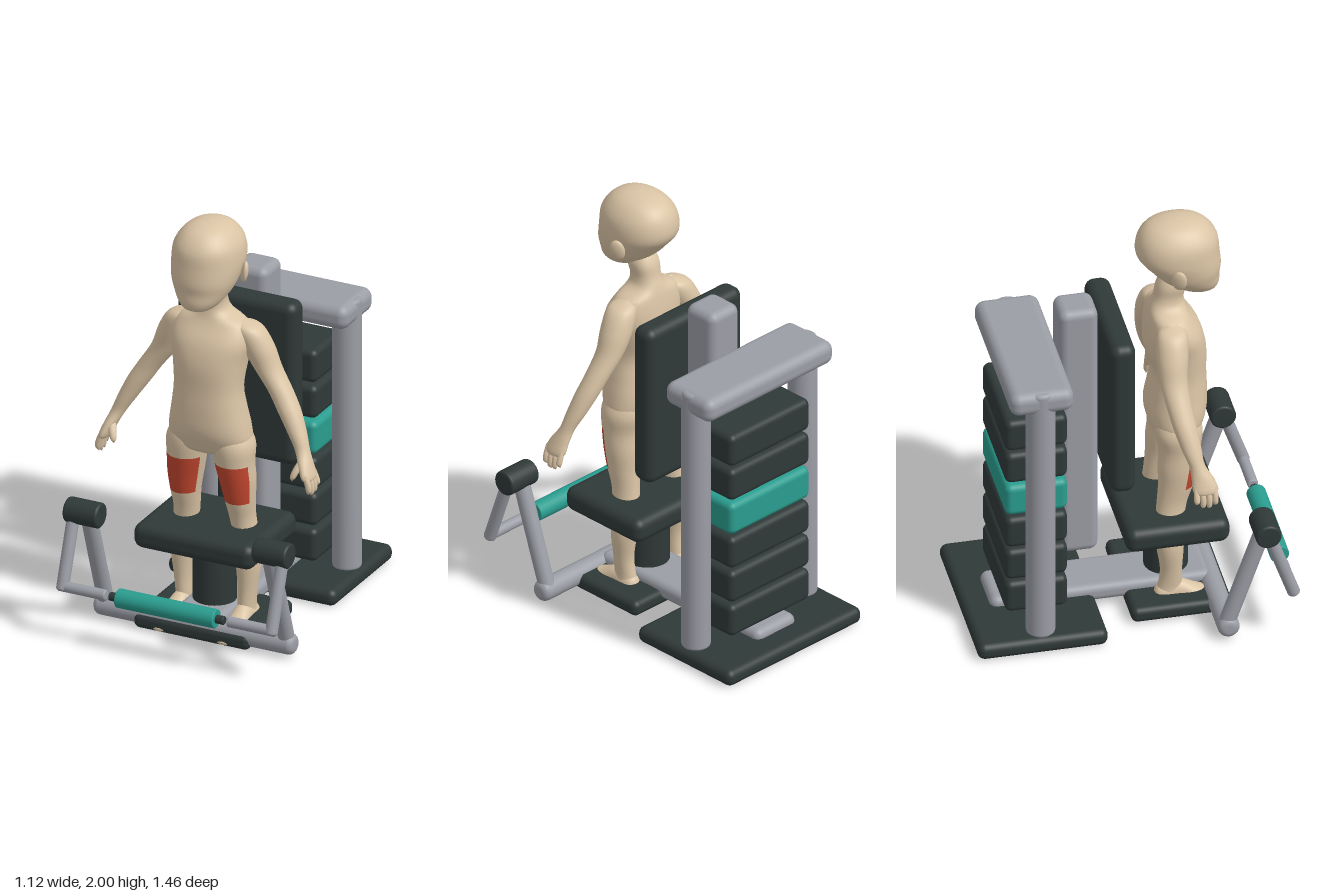
import * as THREE from 'three';
import { RoundedBoxGeometry } from 'three/addons/geometries/RoundedBoxGeometry.js';

const makeMaterial = (name, color) => {
  const m = new THREE.MeshStandardMaterial({ color });
  m.name = name;
  return m;
};

// Smooth body through horizontal oval sections [x, y, z, halfWidth, halfDepth], listed from top to bottom.
// paint(section, angle) picks the faces that use the second material.
function loft(sections, { power = 2, steps = 5, segs = 32, paint = null } = {}) {
  const centres = new THREE.CatmullRomCurve3(sections.map(s => new THREE.Vector3(s[0], s[1], s[2])), false, 'catmullrom');
  const radii = new THREE.CatmullRomCurve3(sections.map(s => new THREE.Vector3(s[3], s[4], 0)), false, 'catmullrom');
  const rows = (sections.length - 1) * steps;
  const pos = [], plain = [], painted = [];
  const bulge = v => Math.sign(v) * Math.abs(v) ** (2 / power);
  for (let i = 0; i <= rows; i++) {
    const c = centres.getPoint(i / rows), r = radii.getPoint(i / rows);
    for (let j = 0; j < segs; j++) {
      const a = j / segs * Math.PI * 2;
      pos.push(c.x + Math.max(r.x, 0.0005) * bulge(Math.cos(a)), c.y, c.z + Math.max(r.y, 0.0005) * bulge(Math.sin(a)));
      if (i === rows) continue;
      const p = i * segs + j, p1 = i * segs + (j + 1) % segs;
      const list = paint && paint((i + 0.5) / steps, (j + 0.5) / segs * Math.PI * 2) ? painted : plain;
      list.push(p, p1, p + segs, p1, p1 + segs, p + segs);
    }
  }
  const g = new THREE.BufferGeometry();
  g.setAttribute('position', new THREE.Float32BufferAttribute(pos, 3));
  g.setIndex([...plain, ...painted]);
  if (paint) {
    g.addGroup(0, plain.length, 0);
    g.addGroup(plain.length, painted.length, 1);
  }
  g.computeVertexNormals();
  return g;
}

export function createModel() {
  const model = new THREE.Group();
  model.name = 'exerciseMachineWithFigure';
  const skin = makeMaterial('skin', 0xdac4a5);
  const dark = makeMaterial('darkPadding', 0x2f3938);
  const grey = makeMaterial('greyFrame', 0x9c9ea6);
  const teal = makeMaterial('tealAccent', 0x2a9d8f);
  const red = makeMaterial('redMuscle', 0xc4472f);

  const add = (name, geometry, material, parent = model) => {
    const mesh = new THREE.Mesh(geometry, material);
    mesh.name = name;
    parent.add(mesh);
    return mesh;
  };

  // Rounded box given by its extents
  const box = (name, [x0, x1], [y0, y1], [z0, z1], r, material) => {
    const m = add(name, new RoundedBoxGeometry(x1 - x0, y1 - y0, z1 - z0, 4, r), material);
    m.position.set((x0 + x1) / 2, (y0 + y1) / 2, (z0 + z1) / 2);
  };

  // Cylinder with softened rims between two points
  const rod = (name, from, to, r, material, bevel = 0.012) => {
    const a = new THREE.Vector3(...from), b = new THREE.Vector3(...to);
    const h = a.distanceTo(b) / 2, pts = [new THREE.Vector2(0, -h)];
    for (const end of [-1, 1]) for (let k = 0; k <= 4; k++) {
      const t = (end < 0 ? k : 4 - k) / 4 * Math.PI / 2;
      pts.push(new THREE.Vector2(r - bevel + bevel * Math.sin(t), end * (h - bevel + bevel * Math.cos(t))));
    }
    pts.push(new THREE.Vector2(0, h));
    const m = add(name, new THREE.LatheGeometry(pts, 28), material);
    m.position.copy(a).add(b).multiplyScalar(0.5);
    m.quaternion.setFromUnitVectors(new THREE.Vector3(0, 1, 0), b.sub(a).normalize());
  };

  // Bases and connecting rail
  box('rearBase', [-0.42, 0.42], [0, 0.08], [-0.73, -0.135], 0.035, dark);
  box('footPlate', [-0.29, 0.29], [0.005, 0.08], [0, 0.46], 0.03, dark);
  box('baseRail', [-0.125, 0.125], [0.035, 0.12], [-0.61, 0.4], 0.035, grey);

  // Seat, backrest and spine
  rod('seatPost', [0, 0.06, 0.215], [0, 0.42, 0.215], 0.1, dark);
  box('seat', [-0.3, 0.3], [0.39, 0.51], [-0.025, 0.45], 0.045, dark);
  box('backrest', [-0.298, 0.298], [0.73, 1.525], [-0.098, 0.02], 0.045, dark);
  box('spinePost', [-0.09, 0.09], [0.29, 1.605], [-0.287, -0.108], 0.04, grey);

  // Weight tower
  for (let i = 0; i < 6; i++) {
    const y = 0.125 + i * 0.176;
    box('weightPlate' + (i + 1), [-0.25, 0.25], [y, y + 0.16], [-0.57, -0.285], 0.03, i === 3 ? teal : dark);
  }
  box('towerBeam', [-0.4, 0.4], [1.29, 1.405], [-0.577, -0.285], 0.045, grey);

  // Front cross bar and roller
  rod('frontBar', [-0.5, 0.063, 0.4], [0.5, 0.063, 0.4], 0.05, grey, 0.03);
  rod('rollerAxle', [-0.287, 0.255, 0.683], [0.287, 0.255, 0.683], 0.02, dark, 0.004);
  rod('rollerPad', [-0.247, 0.255, 0.683], [0.247, 0.255, 0.683], 0.044, teal, 0.005);

  for (const [side, s] of [['left', 1], ['right', -1]]) {
    rod(side + 'Upright', [s * 0.335, 0.07, -0.43], [s * 0.335, 1.4, -0.43], 0.067, grey, 0.02);
    rod(side + 'LeverArm', [s * 0.453, 0.06, 0.39], [s * 0.453, 0.58, 0.57], 0.038, grey);
    rod(side + 'Grip', [s * 0.388, 0.58, 0.567], [s * 0.558, 0.58, 0.567], 0.059, dark);
    rod(side + 'SwingArm', [s * 0.523, 0.58, 0.57], [s * 0.523, 0.235, 0.69], 0.029, grey);
    rod(side + 'RollerHandle', [s * 0.305, 0.255, 0.683], [s * 0.545, 0.255, 0.683], 0.025, grey, 0.008);
  }

  // Standing figure
  const figure = new THREE.Group();
  figure.name = 'figure';
  model.add(figure);

  add('head', loft([
    [0, 2.0, 0.27, 0, 0], [0, 1.99, 0.268, 0.06, 0.075], [0, 1.96, 0.265, 0.112, 0.138],
    [0, 1.9, 0.267, 0.152, 0.18], [0, 1.82, 0.27, 0.161, 0.188], [0, 1.75, 0.3, 0.15, 0.164],
    [0, 1.7, 0.32, 0.132, 0.138], [0, 1.65, 0.352, 0.1, 0.105], [0, 1.617, 0.375, 0.06, 0.065],
    [0, 1.605, 0.385, 0, 0]], { power: 2.15 }), skin, figure);

  add('torso', loft([
    [0, 1.74, 0.26, 0.03, 0.03], [0, 1.66, 0.245, 0.066, 0.068], [0, 1.59, 0.228, 0.064, 0.068],
    [0, 1.545, 0.222, 0.085, 0.08], [0, 1.5, 0.225, 0.165, 0.095], [0, 1.42, 0.243, 0.19, 0.125],
    [0, 1.32, 0.255, 0.172, 0.138], [0, 1.2, 0.272, 0.16, 0.122], [0, 1.1, 0.267, 0.172, 0.13],
    [0, 1.0, 0.257, 0.19, 0.136], [0, 0.93, 0.25, 0.192, 0.12], [0, 0.88, 0.248, 0.14, 0.09],
    [0, 0.86, 0.247, 0, 0]], { power: 2.3 }), skin, figure);

  for (const [side, s] of [['left', 1], ['right', -1]]) {
    // Ear
    const ear = add(side + 'Ear', new THREE.SphereGeometry(1, 20, 14), skin, figure);
    ear.scale.set(0.017, 0.053, 0.036);
    ear.position.set(s * 0.163, 1.765, 0.243);
    ear.rotation.set(0.15, s * 0.5, -s * 0.2);

    // Leg with the painted front of the thigh
    add(side + 'Leg', loft([
      [s * 0.1, 1.0, 0.25, 0.07, 0.09], [s * 0.112, 0.92, 0.25, 0.098, 0.108], [s * 0.119, 0.83, 0.253, 0.091, 0.096],
      [s * 0.13, 0.735, 0.242, 0.082, 0.09], [s * 0.136, 0.64, 0.232, 0.068, 0.08], [s * 0.14, 0.54, 0.212, 0.058, 0.068],
      [s * 0.155, 0.42, 0.198, 0.058, 0.066], [s * 0.162, 0.32, 0.2, 0.058, 0.062], [s * 0.16, 0.2, 0.205, 0.044, 0.05],
      [s * 0.155, 0.11, 0.2, 0.04, 0.055], [s * 0.155, 0.05, 0.19, 0.04, 0.06], [s * 0.155, 0.025, 0.19, 0, 0]],
    { paint: (k, a) => k > 2 && k < 4 && Math.sin(a) > 0.3 }), [skin, red], figure);

    // Foot, lofted from toe to heel
    add(side + 'Foot', loft([
      [s * 0.16, 0.462, -0.025, 0, 0], [s * 0.16, 0.452, -0.027, 0.035, 0.014], [s * 0.162, 0.4, -0.038, 0.058, 0.026],
      [s * 0.16, 0.32, -0.052, 0.052, 0.042], [s * 0.156, 0.24, -0.07, 0.044, 0.06], [s * 0.155, 0.15, -0.06, 0.04, 0.05],
      [s * 0.155, 0.12, -0.06, 0, 0]]).rotateX(Math.PI / 2), skin, figure);

    // Arm and palm
    add(side + 'Arm', loft([
      [s * 0.14, 1.515, 0.215, 0.01, 0.02], [s * 0.165, 1.485, 0.21, 0.065, 0.065], [s * 0.207, 1.4, 0.2, 0.076, 0.073],
      [s * 0.255, 1.3, 0.195, 0.066, 0.064], [s * 0.325, 1.2, 0.205, 0.058, 0.056], [s * 0.375, 1.12, 0.22, 0.055, 0.053],
      [s * 0.425, 1.03, 0.24, 0.044, 0.045], [s * 0.46, 0.96, 0.258, 0.034, 0.036], [s * 0.488, 0.9, 0.278, 0.03, 0.05],
      [s * 0.51, 0.845, 0.288, 0.025, 0.055], [s * 0.515, 0.825, 0.288, 0, 0]]), skin, figure);

    // Fingers and thumb
    for (let i = 0; i < 4; i++) {
      const z = 0.244 + i * 0.028, tip = [0.785, 0.765, 0.762, 0.775][i];
      add(side + 'Finger' + (i + 1), loft([
        [s * 0.508, 0.87, z, 0.012, 0.012], [s * 0.523, 0.825, z, 0.015, 0.014], [s * 0.528, tip + 0.018, z, 0.012, 0.012],
        [s * 0.522, tip, z - 0.002, 0, 0]], { segs: 12 }), skin, figure);
    }
    add(side + 'Thumb', loft([
      [s * 0.478, 0.925, 0.285, 0.018, 0.018], [s * 0.462, 0.885, 0.315, 0.018, 0.018], [s * 0.45, 0.85, 0.33, 0.014, 0.014],
      [s * 0.445, 0.83, 0.333, 0, 0]], { segs: 12 }), skin, figure);
  }
  return model;
}
